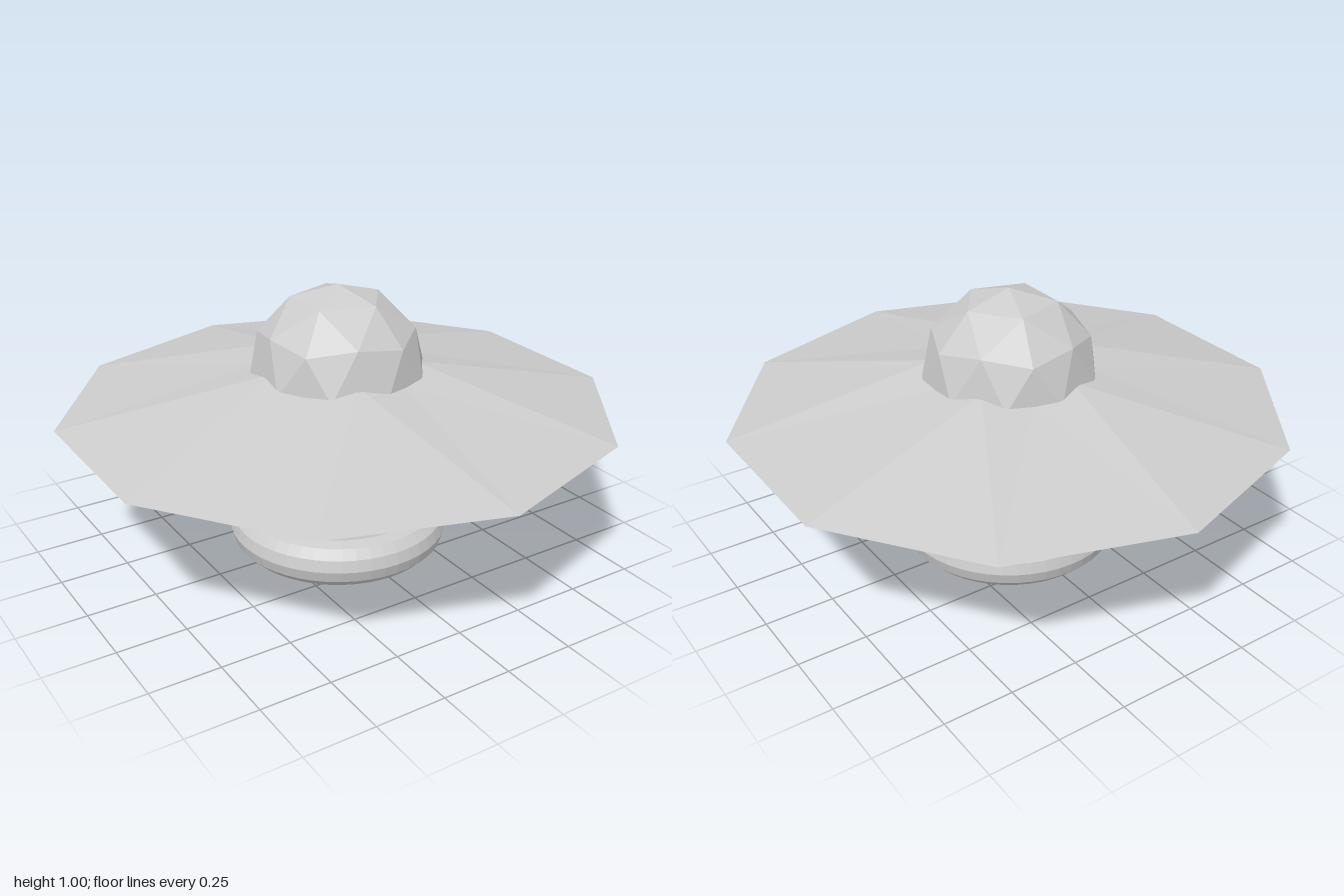
import * as THREE from 'three';

const material = new THREE.MeshStandardMaterial({ color: 0xcccccc, flatShading: true });

// Faceted ball (once-subdivided icosahedron, poles on y) whose waist ring can be pulled outwards
function facetedBall(radius, waist) {
  const pos = [];
  const point = (r, y, degrees) => {
    const a = THREE.MathUtils.degToRad(degrees);
    return [r * Math.sin(a), y, r * Math.cos(a)];
  };
  for (const side of [1, -1]) {
    const turn = side > 0 ? 18 : 54; // lower half is twisted by one facet
    const tri = (a, b, c) => pos.push(...a, ...(side > 0 ? [...b, ...c] : [...c, ...b]));
    const pole = [0, side * radius, 0];
    const cap = (k) => point(0.5257 * radius, side * 0.8507 * radius, turn + 72 * k);
    // shoulder ring alternates between wide-low and narrow-high corners
    const shoulder = (j) => {
      const [r, y] = j % 2 ? [0.8507, 0.5257] : [0.8944, 0.4472];
      return point(r * radius, side * y * radius, turn + 36 * j);
    };
    const rim = (j) => point(waist, 0, turn - 18 + 36 * j);
    for (let k = 0; k < 5; k++) {
      const m = shoulder(2 * k + 1);
      tri(pole, cap(k), cap(k + 1));
      tri(cap(k), m, cap(k + 1));
      tri(cap(k), shoulder(2 * k), m);
      tri(cap(k + 1), m, shoulder(2 * k + 2));
    }
    for (let j = 0; j < 10; j++) {
      tri(shoulder(j), rim(j), rim(j + 1));
      tri(shoulder(j), rim(j + 1), shoulder(j + 1));
    }
  }
  const geometry = new THREE.BufferGeometry();
  geometry.setAttribute('position', new THREE.Float32BufferAttribute(pos, 3));
  geometry.computeVertexNormals();
  return geometry;
}

export function createModel() {
  const model = new THREE.Group();
  model.name = 'flyingSaucer';
  const add = (name, geometry, y) => {
    const mesh = new THREE.Mesh(geometry, material);
    mesh.name = name;
    mesh.position.y = y;
    model.add(mesh);
  };

  // Wide hull with its faceted belly
  add('saucerHull', facetedBall(0.32, 1), 0.553);
  // Cockpit dome sunk into the hull
  add('dome', facetedBall(0.32, 0.32), 0.68);
  // Ring floating underneath
  add('lowerRing', new THREE.TorusGeometry(0.317, 0.083, 12, 48).rotateX(Math.PI / 2), 0.083);
  return model;
}
